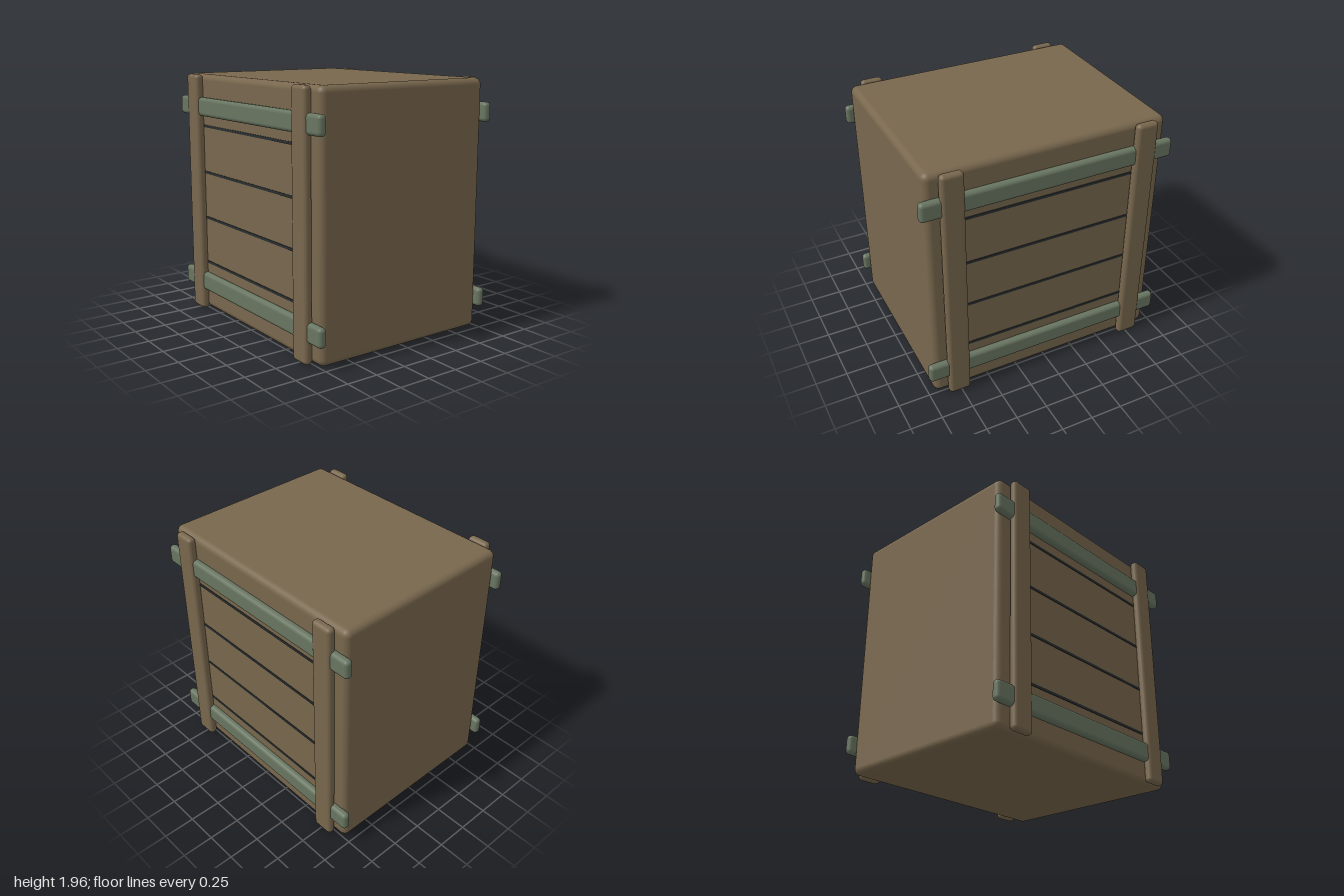
import * as THREE from 'three';
import { RoundedBoxGeometry } from 'three/addons/geometries/RoundedBoxGeometry.js';

const wood = new THREE.MeshStandardMaterial({ color: 0x78674d });
const strapGreen = new THREE.MeshStandardMaterial({ color: 0x687561 });
const dark = new THREE.MeshStandardMaterial({ color: 0x2a2f30 });

const HEIGHT = 1.96;

function addPart(parent, name, geometry, material, x, y, z) {
  const mesh = new THREE.Mesh(geometry, material);
  mesh.name = name;
  mesh.position.set(x, y, z);
  parent.add(mesh);
  return mesh;
}

export function createModel() {
  const crate = new THREE.Group();
  crate.name = 'crate';

  // Rounded main box
  addPart(crate, 'body', new RoundedBoxGeometry(1.9, HEIGHT, 1.5, 4, 0.05), wood, 0, HEIGHT / 2, 0);

  const postGeometry = new RoundedBoxGeometry(0.175, HEIGHT, 0.068, 4, 0.03);
  const battenGeometry = new RoundedBoxGeometry(2, 0.15, 0.066, 4, 0.03);
  const seamGeometry = new THREE.BoxGeometry(1.5, 0.02, 0.02);

  // The front and back carry the same frame
  for (const [side, turn] of [['front', 0], ['back', Math.PI]]) {
    const frame = new THREE.Group();
    frame.name = side + 'Frame';
    frame.rotation.y = turn;
    crate.add(frame);

    // Upright posts
    for (const x of [-0.762, 0.762]) {
      addPart(frame, side + 'Post', postGeometry, wood, x, HEIGHT / 2, 0.781);
    }
    // Horizontal battens running behind the posts' faces
    for (const y of [0.24, 1.703]) {
      addPart(frame, side + 'Batten', battenGeometry, strapGreen, 0, y, 0.767);
    }
    // Dark seams between the planks
    for (let i = 0; i < 4; i++) {
      addPart(frame, side + 'PlankSeam', seamGeometry, dark, 0, 0.402 + i * 0.381, 0.745);
    }
  }
  return crate;
}
